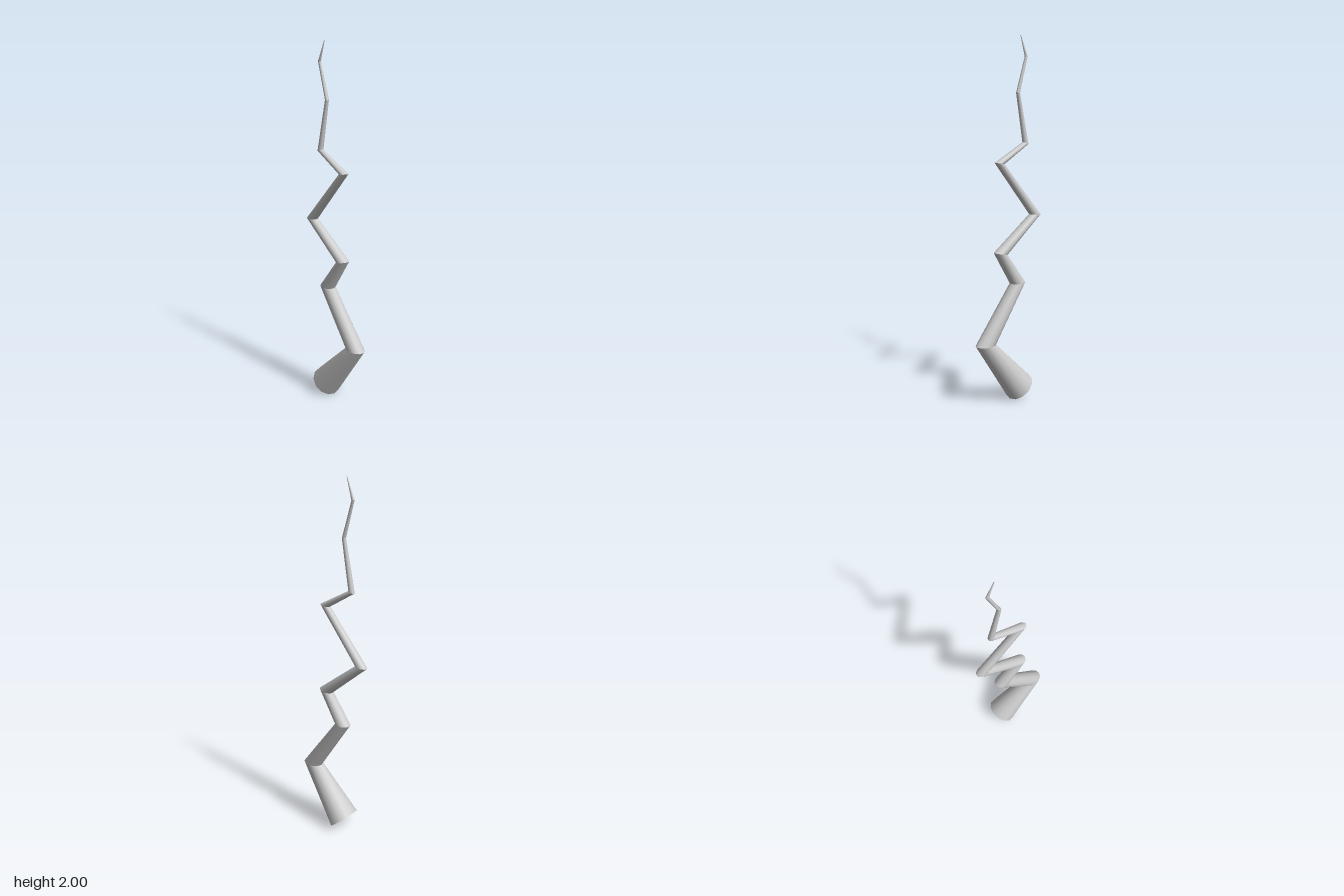
import * as THREE from 'three';

const SIDES = 12;

// Mitred cross-sections, base to tip: [-x edge x, y, +x edge x, y, half depth in z]
const RINGS = [
  [-0.14, 0.117, -0.008, 0.003, 0.088],
  [0.098, 0.35, 0.218, 0.35, 0.046],
  [-0.108, 0.667, -0.016, 0.665, 0.039],
  [0.016, 0.834, 0.095, 0.85, 0.033],
  [-0.22, 1.037, -0.15, 1.04, 0.027],
  [0.032, 1.326, 0.09, 1.334, 0.022],
  [-0.132, 1.427, -0.098, 1.438, 0.016],
  [-0.074, 1.703, -0.053, 1.7, 0.011],
  [-0.127, 1.893, -0.11, 1.89, 0.007],
  [-0.082, 2.0, -0.079, 1.999, 0.0015],
];

// Elliptical loop of points spanning the two edges of a cross-section
function loop([x0, y0, x1, y1, depth]) {
  const points = [];
  for (let i = 0; i < SIDES; i++) {
    const a = (i / SIDES) * Math.PI * 2;
    const c = Math.cos(a) / 2;
    points.push((x0 + x1) / 2 + (x1 - x0) * c, (y0 + y1) / 2 + (y1 - y0) * c, depth * Math.sin(a));
  }
  return points;
}

function build(positions, index) {
  const geometry = new THREE.BufferGeometry();
  geometry.setAttribute('position', new THREE.Float32BufferAttribute(positions, 3));
  geometry.setIndex(index);
  geometry.computeVertexNormals();
  return geometry;
}

// Tapered tube between two cross-sections, smooth around its girth
function segment(lower, upper) {
  const index = [];
  for (let i = 0; i < SIDES; i++) {
    const j = (i + 1) % SIDES;
    index.push(i, i + SIDES, j, j, i + SIDES, j + SIDES);
  }
  return build([...loop(lower), ...loop(upper)], index);
}

// Flat fan closing an end
function cap(ring, facesUp) {
  const index = [];
  for (let i = 1; i < SIDES - 1; i++) index.push(0, ...(facesUp ? [i + 1, i] : [i, i + 1]));
  return build(loop(ring), index);
}

export function createModel() {
  const group = new THREE.Group();
  group.name = 'lightningBolt';
  const material = new THREE.MeshStandardMaterial({ color: 0xcccccc });
  const add = (name, geometry) => {
    const mesh = new THREE.Mesh(geometry, material);
    mesh.name = name;
    group.add(mesh);
  };

  // Separate segments keep the bends sharp
  for (let i = 0; i < RINGS.length - 1; i++) add(`boltSegment${i + 1}`, segment(RINGS[i], RINGS[i + 1]));
  add('baseCap', cap(RINGS[0], false));
  add('tipCap', cap(RINGS[RINGS.length - 1], true));
  return group;
}
